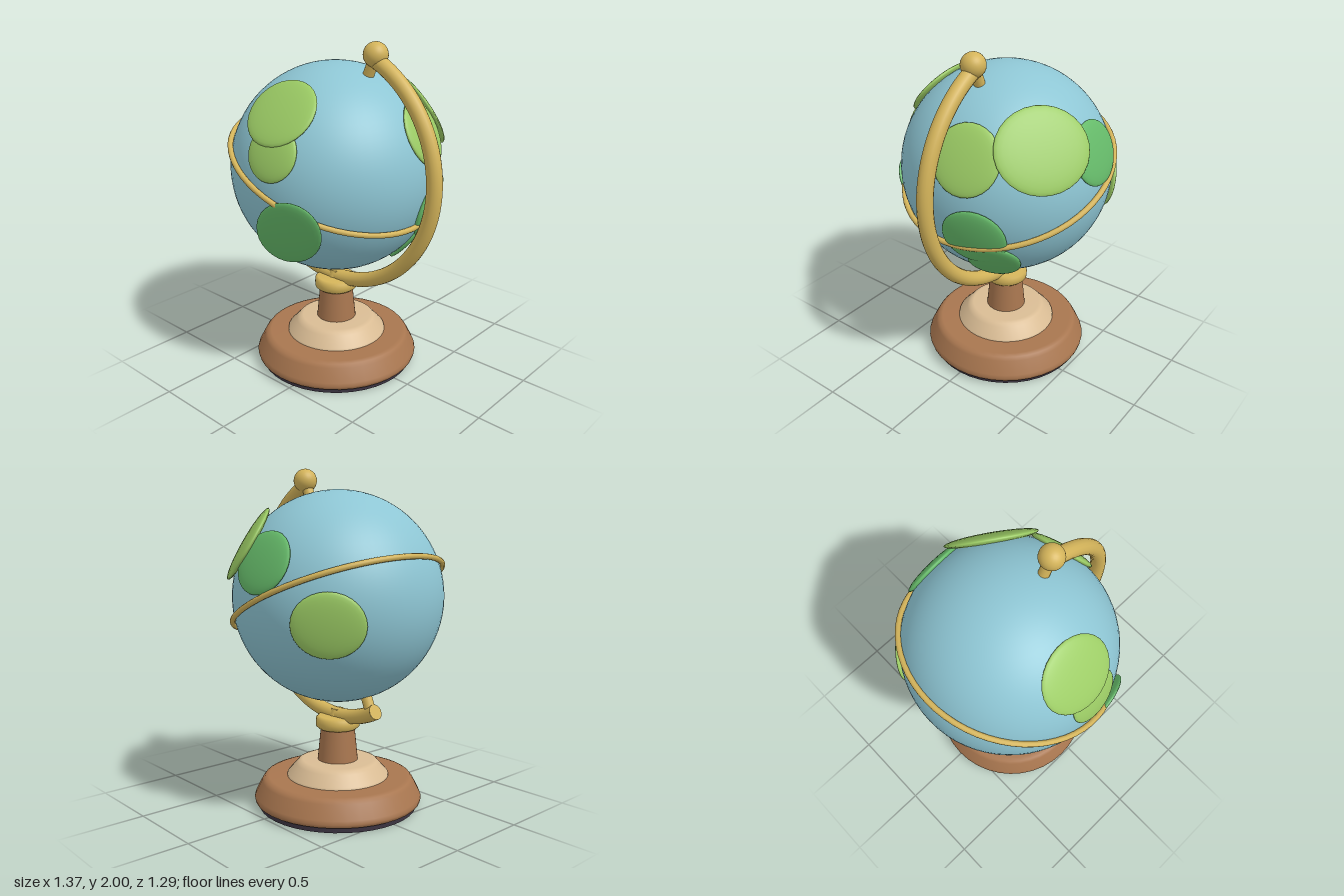
import * as THREE from 'three';

const mat = (name, color) => {
  const m = new THREE.MeshStandardMaterial({ color });
  m.name = name;
  return m;
};

export function createModel() {
  const ocean = mat('ocean blue', 0x8ec6d4);
  const lime = mat('light green', 0x9ccc65);
  const green = mat('deep green', 0x66bb6a);
  const gold = mat('brass', 0xd4b45a);
  const wood = mat('brown wood', 0xa8764f);
  const paleWood = mat('pale wood', 0xd9bc94);
  const felt = mat('dark felt', 0x3b3340);

  const model = new THREE.Group();
  model.name = 'deskGlobe';
  model.position.x = -0.075;
  const root = new THREE.Group();
  root.add(model);

  const add = (name, geometry, material, parent = model) => {
    const mesh = new THREE.Mesh(geometry, material);
    mesh.name = name;
    parent.add(mesh);
    return mesh;
  };
  const lathe = (name, points, material) =>
    add(name, new THREE.LatheGeometry(points.map(p => new THREE.Vector2(...p)), 40), material);

  // Stand
  add('feltPad', new THREE.CylinderGeometry(0.475, 0.475, 0.04, 40), felt).position.y = 0.02;
  lathe('base', [[0, 0.03], [0.475, 0.03], [0.497, 0.036], [0.502, 0.055], [0.495, 0.075],
    [0.455, 0.153], [0.44, 0.172], [0.415, 0.18], [0, 0.18]], wood);
  lathe('baseStep', [[0.306, 0.175], [0.303, 0.192], [0.25, 0.25], [0.235, 0.267],
    [0.21, 0.275], [0, 0.275]], paleWood);
  add('column', new THREE.CylinderGeometry(0.1, 0.122, 0.22, 32), wood).position.y = 0.375;
  lathe('collar', [[0, 0.467], [0.115, 0.467], [0.13, 0.48], [0.132, 0.505], [0.13, 0.53],
    [0.115, 0.544], [0, 0.544]], gold);
  add('collarPeg', new THREE.CylinderGeometry(0.036, 0.052, 0.05, 20), gold).position.y = 0.56;

  // Globe group, centred on the sphere
  const globe = new THREE.Group();
  globe.name = 'globe';
  globe.position.y = 1.255;
  model.add(globe);
  add('ocean', new THREE.SphereGeometry(0.615, 64, 40), ocean, globe);

  // Land: flattened domes set on the sphere [direction, half width, half height, roll, material]
  const lands = [
    [[0.03, 0.39, 0.45], 0.22, 0.205, 0, lime],
    [[0.065, 0.2, 0.56], 0.16, 0.157, 0, lime],
    [[0.14, -0.235, 0.53], 0.255, 0.185, 0.9, green],
    [[0.525, 0.258, -0.132], 0.19, 0.195, 0, lime],
    [[0.275, 0.3, -0.425], 0.265, 0.235, 0, lime],
    [[-0.032, 0.215, -0.558], 0.2, 0.18, 0, green],
    [[-0.405, -0.095, -0.432], 0.2, 0.18, 0, lime],
    [[0.543, -0.17, -0.19], 0.183, 0.19, 0, green],
    [[0.41, -0.377, -0.222], 0.15, 0.205, 0, green],
  ];
  const dome = new THREE.SphereGeometry(1, 28, 16).rotateX(Math.PI / 2);
  lands.forEach(([dir, w, h, roll, material], i) => {
    const n = new THREE.Vector3(...dir).normalize();
    const side = new THREE.Vector3(0, 1, 0).cross(n).normalize();
    const up = n.clone().cross(side);
    const land = add(`land${i + 1}`, dome, material, globe);
    land.quaternion.setFromRotationMatrix(new THREE.Matrix4().makeBasis(side, up, n));
    land.rotateZ(roll);
    land.position.copy(n).multiplyScalar(0.602);
    land.scale.set(w, h, 0.033);
  });

  // Tilted axis: equator ring, pivot pins and top ball
  const axis = new THREE.Group();
  axis.name = 'axis';
  axis.rotation.z = -THREE.MathUtils.degToRad(23.5);
  globe.add(axis);
  add('equatorRing', new THREE.TorusGeometry(0.63, 0.016, 10, 64).rotateX(Math.PI / 2), gold, axis);
  for (const s of [1, -1]) {
    add(s > 0 ? 'topPin' : 'bottomPin', new THREE.CylinderGeometry(0.032, 0.032, 0.14, 18), gold, axis)
      .position.y = s * 0.65;
  }
  add('topBall', new THREE.SphereGeometry(0.07, 28, 18), gold, axis).position.y = 0.737;

  // Half-circle arm from the lower pin round to the top ball
  const start = THREE.MathUtils.degToRad(-116.6);
  const end = THREE.MathUtils.degToRad(66.5);
  add('arm', new THREE.TorusGeometry(0.71, 0.045, 16, 56, end - start), gold, globe).rotation.z = start;
  [[start, 1], [end, -1]].forEach(([a, s]) => {
    const cap = add('armEnd', new THREE.CircleGeometry(0.045, 16), gold, globe);
    cap.position.set(0.71 * Math.cos(a), 0.71 * Math.sin(a), 0);
    cap.quaternion.setFromUnitVectors(new THREE.Vector3(0, 0, 1),
      new THREE.Vector3(s * Math.sin(a), -s * Math.cos(a), 0));
  });

  return root;
}
